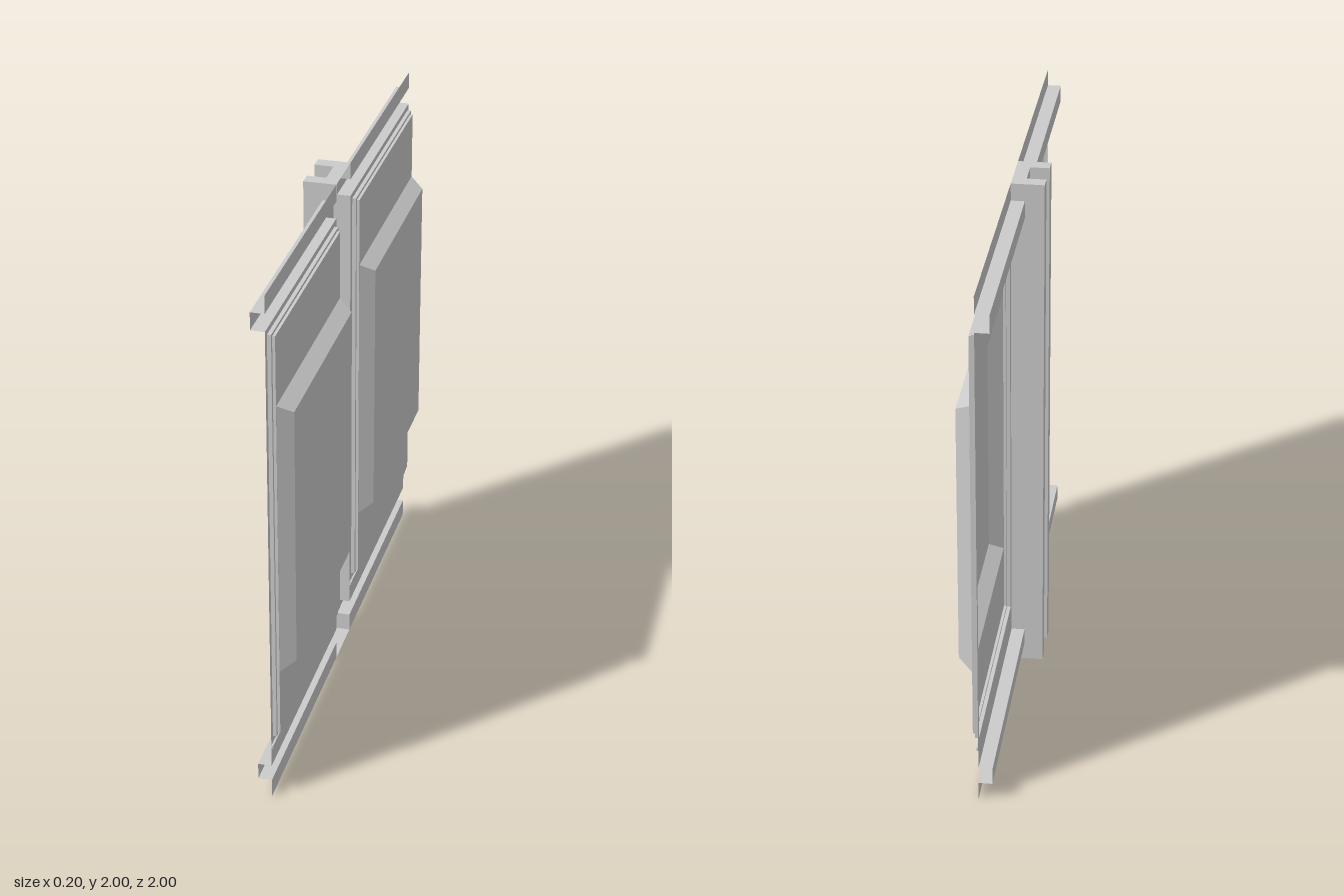
import * as THREE from 'three';

const material = new THREE.MeshStandardMaterial({ color: 0xcccccc, flatShading: true, side: THREE.DoubleSide });

// Skins a row of cross-sections (arrays of [x, y, z]) with flat quads.
function loft(name, sections, closed = false) {
  const positions = [];
  for (let i = 0; i < sections.length - 1; i++) {
    const n = sections[i].length;
    for (let j = 0; j < (closed ? n : n - 1); j++) {
      const k = (j + 1) % n;
      const a = sections[i][j], b = sections[i][k], c = sections[i + 1][k], d = sections[i + 1][j];
      positions.push(...a, ...b, ...c, ...a, ...c, ...d);
    }
  }
  const geometry = new THREE.BufferGeometry();
  geometry.setAttribute('position', new THREE.Float32BufferAttribute(positions, 3));
  geometry.computeVertexNormals();
  return named(name, geometry);
}

function named(name, geometry) {
  const mesh = new THREE.Mesh(geometry, material);
  mesh.name = name;
  return mesh;
}

const flat = (points) => new THREE.ShapeGeometry(new THREE.Shape(points.map(([x, y]) => new THREE.Vector2(x, y))));

const FACE = 0.02;      // front plane of the sheet
const GROOVE = -0.03;   // bottom of the rail grooves
const BACK = -0.1;      // back of the post legs
const Z0 = 0.1, Z1 = 1; // extent of one bay

// Sheet rails with a square groove, at the foot and head of a bay
function rail(name, y0, y1, y2, y3) {
  const profile = [[FACE, y0], [FACE, y1], [GROOVE, y1], [GROOVE, y2], [FACE, y2], [FACE, y3]];
  return loft(name, [Z0, Z1].map((z) => profile.map(([x, y]) => [x, y, z])));
}

// One bay: rails, stepped panel and hollow raised field
function createBay(name) {
  const bay = new THREE.Group();
  bay.name = name;
  bay.add(rail('bottomRail', 0, 0.07, 0.133, 0.133), rail('topRail', 1.87, 1.87, 1.935, 2));

  // nested rectangles: x, z min, z max, y min, y max
  const steps = [
    [FACE, Z0, Z1, 0.133, 1.87],
    [FACE, 0.125, 0.978, 0.25, 1.85],
    [0.034, 0.125, 0.978, 0.25, 1.85],
    [0.034, 0.137, 0.966, 0.26, 1.84],
    [0.044, 0.137, 0.966, 0.26, 1.84],
    [0.044, 0.139, 0.964, 0.52, 1.58],
    [0.096, 0.173, 0.93, 0.555, 1.547],
  ];
  const rings = steps.map(([x, z0, z1, y0, y1]) => [[x, y0, z1], [x, y0, z0], [x, y1, z0], [x, y1, z1]]);
  bay.add(loft('steppedPanel', rings, true));
  const [p, q, r, s] = rings[rings.length - 1];
  bay.add(loft('raisedField', [[q, r], [p, s]]));

  // thin bead under the panel
  const bead = named('bead', new THREE.BoxGeometry(0.007, 0.012, Z1 - Z0));
  bead.position.set(FACE + 0.0035, 0.216, (Z0 + Z1) / 2);
  bay.add(bead);
  return bay;
}

// Hollow post, open at the front, with two legs behind
function createPost() {
  const post = new THREE.Group();
  post.name = 'post';
  const outline = [
    [BACK, -0.1], [BACK, -0.05], [GROOVE, -0.05], [GROOVE, 0.05], [BACK, 0.05], [BACK, 0.1],
  ];
  post.add(loft('postBack', [2, 0].map((y) => outline.map(([x, z]) => [x, y, z]))));

  // end caps
  for (const [name, y] of [['bottomCap', 0], ['topCap', 2]]) {
    const cap = named(name, flat([...outline, [FACE, 0.1], [FACE, -0.1]]).rotateX(Math.PI / 2));
    cap.position.y = y;
    post.add(cap);
  }

  // side walls, notched where the rail grooves pass
  const side = [
    [BACK, 0], [FACE, 0], [FACE, 0.07], [GROOVE, 0.07], [GROOVE, 0.133], [FACE, 0.133],
    [FACE, 1.87], [GROOVE, 1.87], [GROOVE, 1.935], [FACE, 1.935], [FACE, 2], [BACK, 2],
  ];
  for (const z of [Z0, -Z0]) {
    const wall = named(z > 0 ? 'frontWall' : 'rearWall', flat(side));
    wall.position.z = z;
    post.add(wall);
  }
  return post;
}

export function createModel() {
  const model = new THREE.Group();
  model.name = 'wallPanel';
  const frontBay = createBay('frontBay');
  const rearBay = createBay('rearBay');
  rearBay.scale.z = -1;
  model.add(frontBay, rearBay, createPost());
  return model;
}
